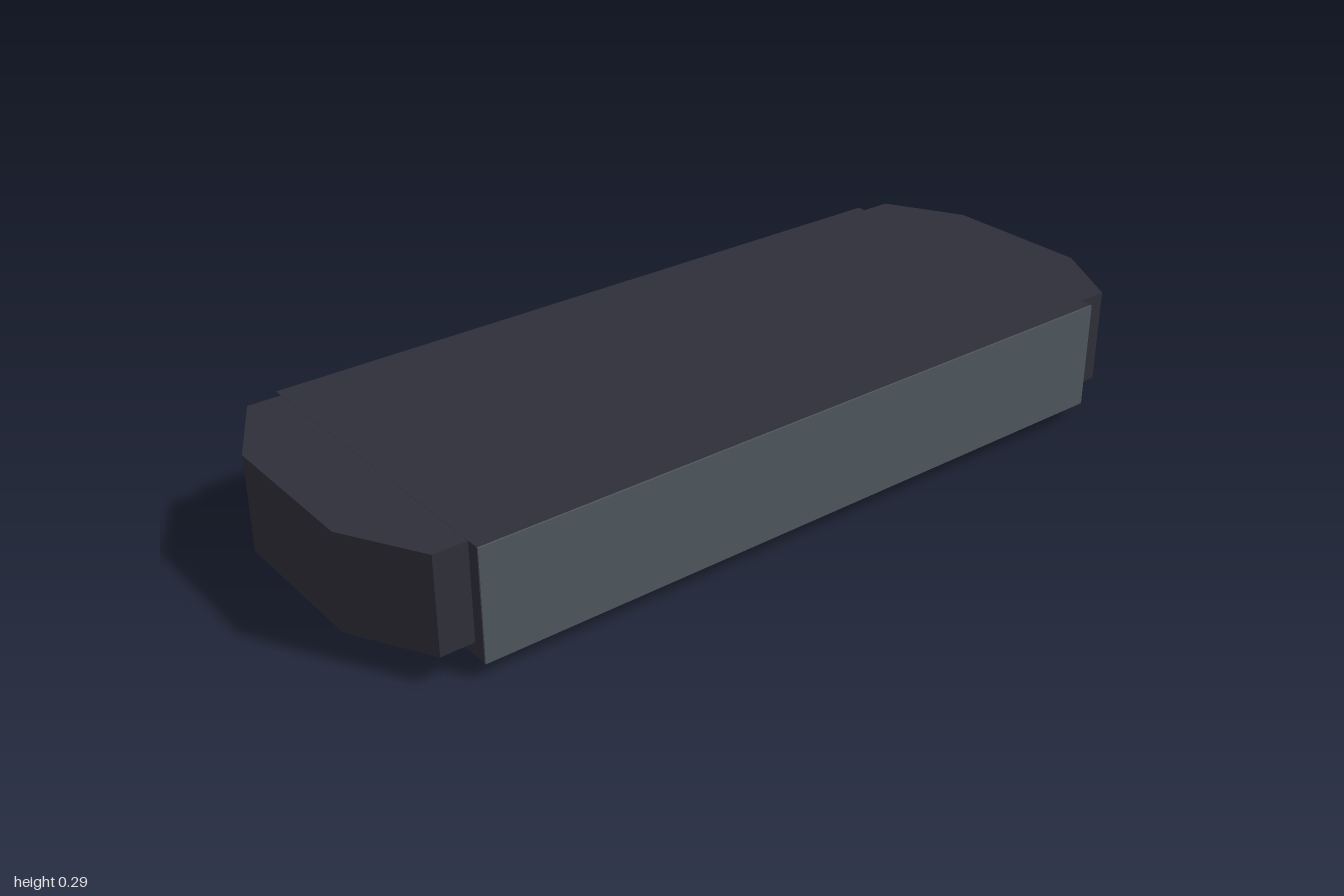
import * as THREE from 'three';

const mat = (name, color) => {
  const m = new THREE.MeshStandardMaterial({ color });
  m.name = name;
  return m;
};

export function createModel() {
  const group = new THREE.Group();
  group.name = 'lowSlab';
  const body = mat('dark slate', 0x2f2f39);
  const face = mat('steel grey', 0x4f575e);
  const under = mat('frame grey', 0x45494f);
  const plate = mat('light grey', 0xb4b4b4);
  const dark = mat('charcoal', 0x2a2c2f);

  const add = (name, geometry, material) => {
    const mesh = new THREE.Mesh(geometry, material);
    mesh.name = name;
    group.add(mesh);
    return mesh;
  };
  // Box given by its two corners
  const box = (name, material, x0, x1, y0, y1, z0, z1) =>
    add(name, new THREE.BoxGeometry(x1 - x0, y1 - y0, z1 - z0), material)
      .position.set((x0 + x1) / 2, (y0 + y1) / 2, (z0 + z1) / 2);
  const toPoints = list => list.map(([x, z]) => new THREE.Vector2(x, z));
  // Floor-plan outline extruded between two heights
  const slab = (name, material, shape, y0, y1) => {
    const g = new THREE.ExtrudeGeometry(shape, { depth: y1 - y0, bevelEnabled: false });
    g.rotateX(Math.PI / 2).translate(0, y1, 0);
    add(name, g, material);
  };

  // Main body and chamfered ends
  box('mainBody', body, -0.825, 0.825, 0.045, 0.288, -0.388, 0.384);
  slab('chamferedEnds', body, new THREE.Shape(toPoints([
    [-1, -0.185], [-0.9, -0.367], [0.9, -0.367], [1, -0.185],
    [1, 0.175], [0.9, 0.355], [-0.9, 0.355], [-1, 0.175],
  ])), 0.067, 0.2875);
  box('frontPanel', face, -0.825, 0.825, 0.036, 0.2875, 0.384, 0.388);

  // Underside frame with a waisted opening
  const opening = toPoints([
    [-0.67, -0.355], [-0.43, -0.355], [-0.3, -0.297], [0.3, -0.297], [0.43, -0.355], [0.67, -0.355],
    [0.67, 0.325], [0.43, 0.325], [0.3, 0.285], [-0.3, 0.285], [-0.43, 0.325], [-0.67, 0.325],
  ]);
  const frame = new THREE.Shape(toPoints([
    [-0.825, -0.388], [0.825, -0.388], [0.825, 0.384], [-0.825, 0.384],
  ]));
  frame.holes.push(new THREE.Path(opening));
  slab('undersideFrame', [under, body], frame, 0.036, 0.045);
  slab('undersidePlate', plate, new THREE.Shape(opening), 0.039, 0.045);

  // Dark slots in the long rails
  for (const z of [-0.345, 0.34]) {
    box('railSlot', dark, -0.17, 0.17, 0.034, 0.037, z - 0.018, z + 0.018);
  }

  // Feet and the thin ribs under each end
  for (const s of [-1, 1]) {
    const xs = (a, b) => (s > 0 ? [a, b] : [-b, -a]);
    box('foot', body, ...xs(0.59, 0.825), 0, 0.04, -0.185, 0.178);
    box('endRib', under, ...xs(0.915, 0.93), 0.063, 0.068, -0.16, 0.15);
  }
  return group;
}
